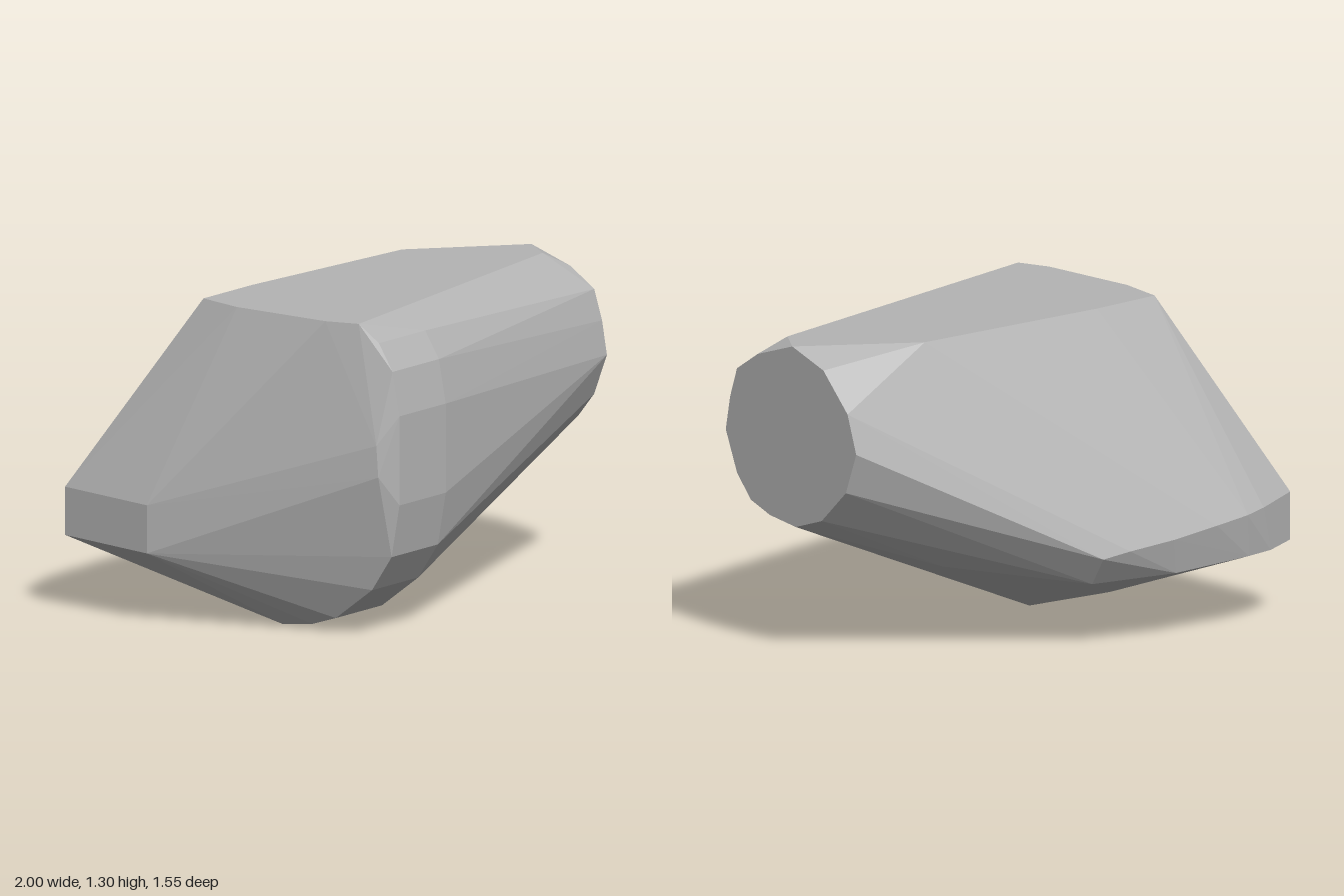
import * as THREE from 'three';
import { ConvexGeometry } from 'three/addons/geometries/ConvexGeometry.js';

// Turn [z, y] pairs into points on one x station
const station = (x, pairs) => pairs.map(([z, y]) => new THREE.Vector3(x, y, z));
const free = (list) => list.map((p) => new THREE.Vector3(...p));

export function createModel() {
  const group = new THREE.Group();
  group.name = 'facetedBlock';
  const grey = new THREE.MeshStandardMaterial({ color: 0xb4b4b4, flatShading: true });
  grey.name = 'stone grey';

  // Flat round end on the +x side
  const endDisc = station(1, [
    [0.2, 1.3], [0.02, 1.23], [-0.12, 1.07], [-0.17, 0.91], [-0.11, 0.74], [0.03, 0.6], [0.18, 0.55],
    [0.33, 0.575], [0.44, 0.62], [0.52, 0.72], [0.585, 0.89], [0.56, 1.03], [0.52, 1.155], [0.4, 1.235],
  ]);

  // Rounded front and underside, swept between two stations
  const belly = [
    [0.67, 1.23], [0.74, 1.12], [0.775, 0.94], [0.775, 0.57], [0.735, 0.35],
    [0.635, 0.2], [0.45, 0.06], [0.33, 0.02], [0.18, 0], [0.03, 0.03],
  ];
  const bellyRight = station(-0.33, belly.slice(0, 9));
  const bellyLeft = station(-0.64, belly);

  // Flat top outline
  const top = free([
    [-0.66, 1.305, -0.21], [-0.71, 1.305, 0], [-0.71, 1.305, 0.45], [-0.67, 1.305, 0.59],
    [0.89, 1.3, 0.34], [0.58, 1.305, -0.14], [-0.33, 1.305, -0.21],
  ]);

  // Left side and its low corner
  const leftSide = free([
    [-0.71, 0.69, 0.72], [-0.71, 0.82, 0.71], [-1, 0.5, -0.24], [-1, 0.3, -0.24],
  ]);

  // Curved rim along the back: upper and lower rows
  const backRim = free([
    [0.07, 0.4, -0.655], [-0.05, 0.42, -0.69], [-0.26, 0.44, -0.73], [-0.47, 0.47, -0.765],
    [-0.63, 0.49, -0.78], [-0.74, 0.5, -0.76], [-0.97, 0.515, -0.68],
    [0.05, 0.28, -0.57], [-0.3, 0.29, -0.7], [-0.66, 0.31, -0.755], [-0.8, 0.31, -0.74], [-0.97, 0.315, -0.68],
    [0.5, 0.36, -0.16],
  ]);

  const geometry = new ConvexGeometry([...endDisc, ...bellyRight, ...bellyLeft, ...top, ...leftSide, ...backRim]);
  const body = new THREE.Mesh(geometry, grey);
  body.name = 'body';
  group.add(body);
  return group;
}
